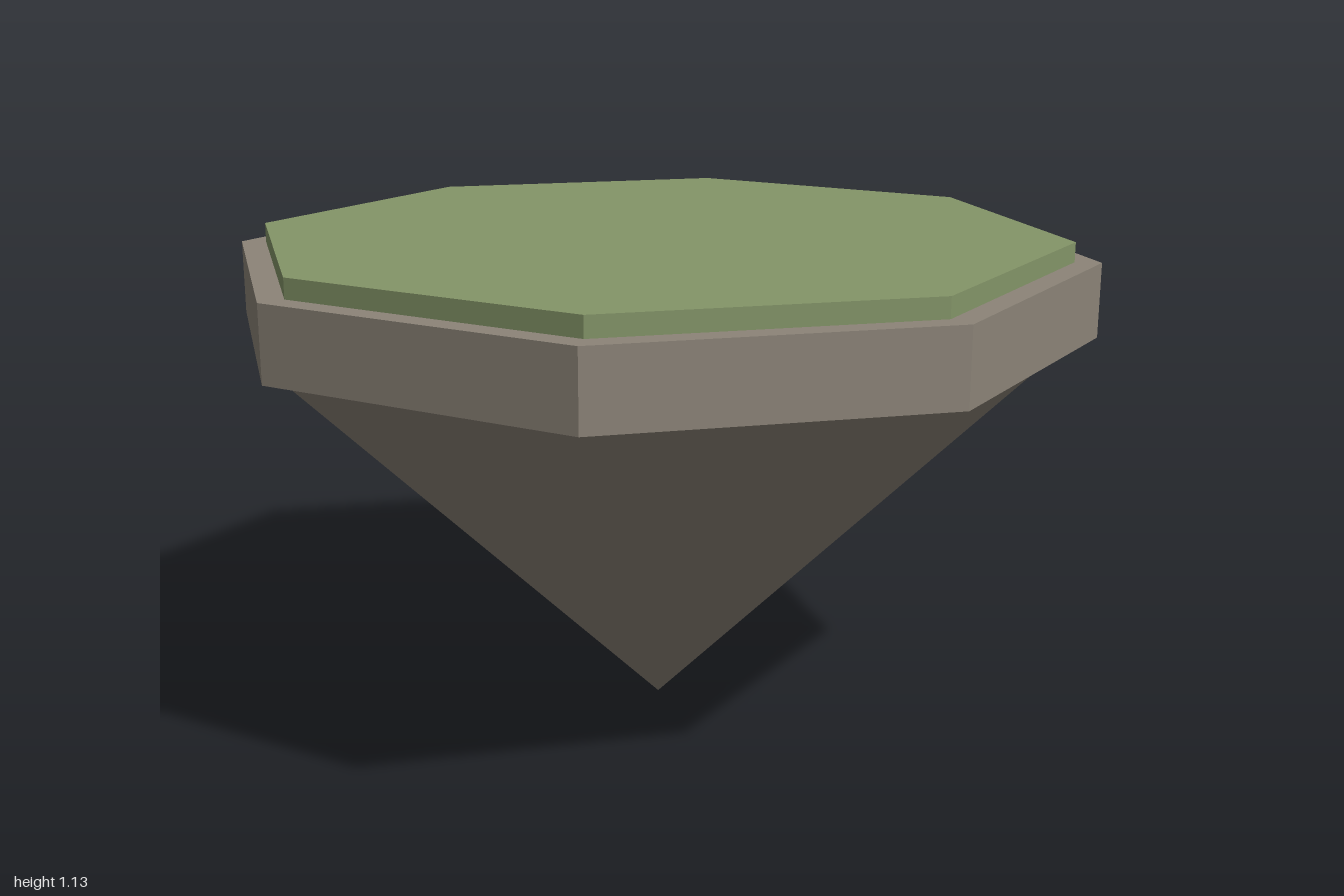
import * as THREE from 'three';

const SIDES = 8;

export function createModel() {
  const group = new THREE.Group();
  group.name = 'floatingIsland';

  const rock = new THREE.MeshStandardMaterial({ color: 0x8c8478, flatShading: true });
  rock.name = 'rock';
  const grass = new THREE.MeshStandardMaterial({ color: 0x849568, flatShading: true });
  grass.name = 'grass';

  // Adds an octagonal prism or cone spanning bottom..top
  function layer(name, material, topRadius, bottomRadius, bottom, top) {
    const geometry = new THREE.CylinderGeometry(topRadius, bottomRadius, top - bottom, SIDES);
    const mesh = new THREE.Mesh(geometry, material);
    mesh.name = name;
    mesh.position.y = (bottom + top) / 2;
    group.add(mesh);
  }

  // Pointed underside, rock rim and grass cap
  layer('underside', rock, 0.955, 0, 0, 0.92);
  layer('rim', rock, 1, 1, 0.92, 1.09);
  layer('grassCap', grass, 0.94, 0.94, 1.09, 1.135);

  return group;
}
